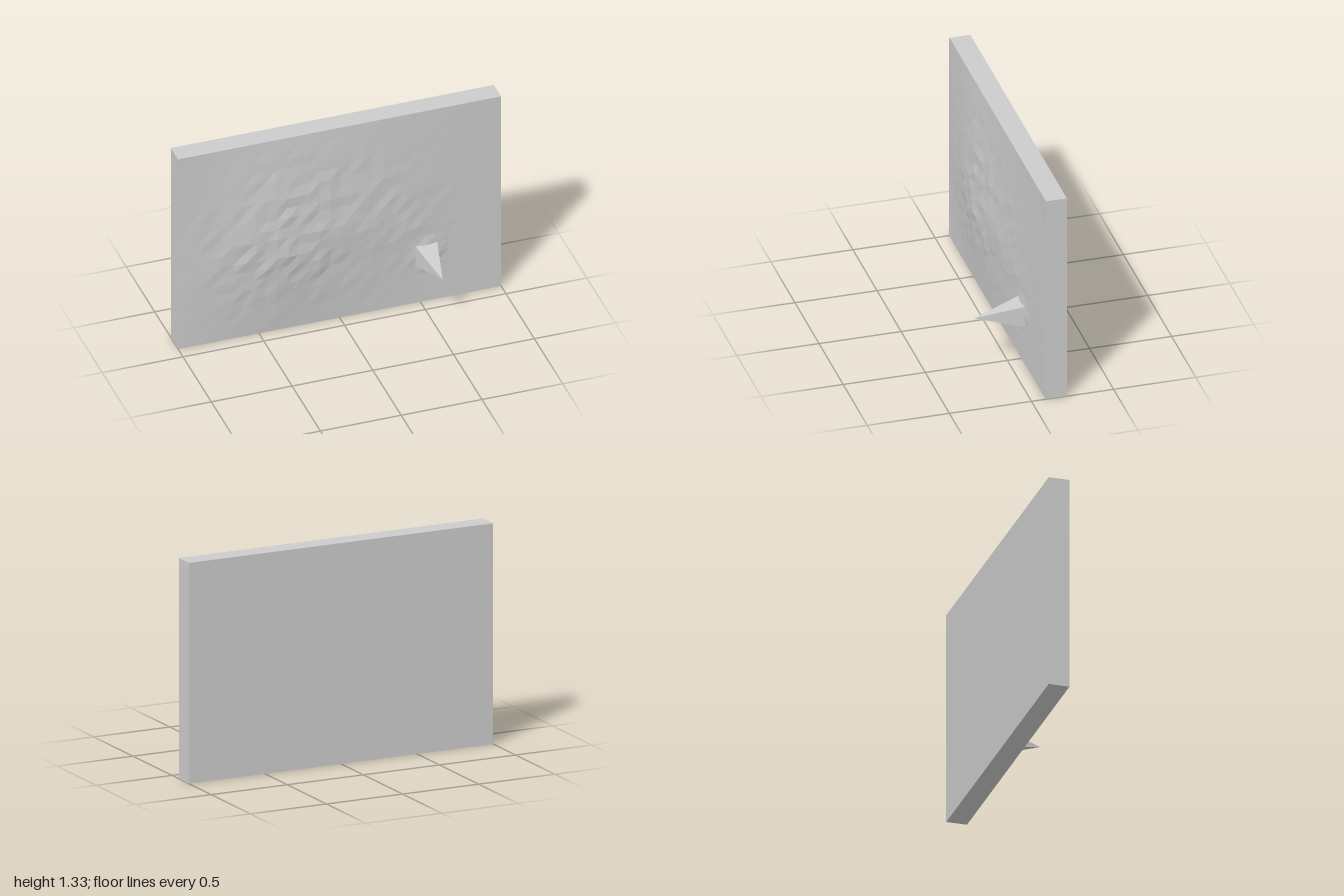
import * as THREE from 'three';

const W = 2, H = 1.333, FACE = -0.086, BACK = -0.215;
const COLS = 30, ROWS = 20;
const SPIKE = { x: 0.533, y: 0.336 };

// Piecewise-linear profile through [position, value] points
function profile(points, t) {
  for (let i = 1; i < points.length; i++) {
    const [a, va] = points[i - 1], [b, vb] = points[i];
    if (t <= b) return va + (vb - va) * Math.max(0, (t - a) / (b - a));
  }
  return points[points.length - 1][1];
}

function seeded(seed) {
  return () => {
    seed = (seed * 16807) % 2147483647;
    return seed / 2147483647;
  };
}

const ACROSS = [[-1, 0], [-0.4, 1], [-0.15, 0.9], [0, 0.7], [0.4, 0.32], [0.7, 0.06], [1, 0]];
const UP = [[0, 0], [0.27, 0.5], [0.53, 1], [0.67, 0.97], [0.9, 0.72], [1.333, 0]];

export function createModel() {
  const group = new THREE.Group();
  const material = new THREE.MeshStandardMaterial({ color: 0xcccccc, flatShading: true });
  const add = (name, geometry) => {
    const mesh = new THREE.Mesh(geometry, material);
    mesh.name = name;
    group.add(mesh);
    return mesh;
  };

  // Flat backing slab, its front just behind the relief
  const depth = FACE - 0.002 - BACK;
  add('slab', new THREE.BoxGeometry(W, H, depth)).position.set(0, H / 2, BACK + depth / 2);

  // Low faceted relief, highest left of centre and fading to the edges
  const relief = new THREE.PlaneGeometry(W, H, COLS, ROWS).translate(0, H / 2, FACE);
  const pos = relief.attributes.position;
  const random = seeded(4711);
  for (let i = 0; i < pos.count; i++) {
    const x = pos.getX(i), y = pos.getY(i);
    let h = 0.056 * profile(ACROSS, x) * profile(UP, y) * (0.82 + 0.26 * random());
    // Small swelling around the foot of the spike
    const d = Math.hypot(x - SPIKE.x, y - SPIKE.y - 0.01);
    h = Math.max(h, 0.03 * (1 - d / 0.125));
    pos.setZ(i, FACE + h);
  }
  relief.computeVertexNormals();
  add('relief', relief);

  // Four-sided spike pointing forward
  const spike = new THREE.ConeGeometry(0.07 * Math.SQRT2, 0.3, 4, 1)
    .rotateY(Math.PI / 4)
    .rotateX(Math.PI / 2);
  add('spike', spike).position.set(SPIKE.x, SPIKE.y, FACE + 0.15);

  return group;
}
